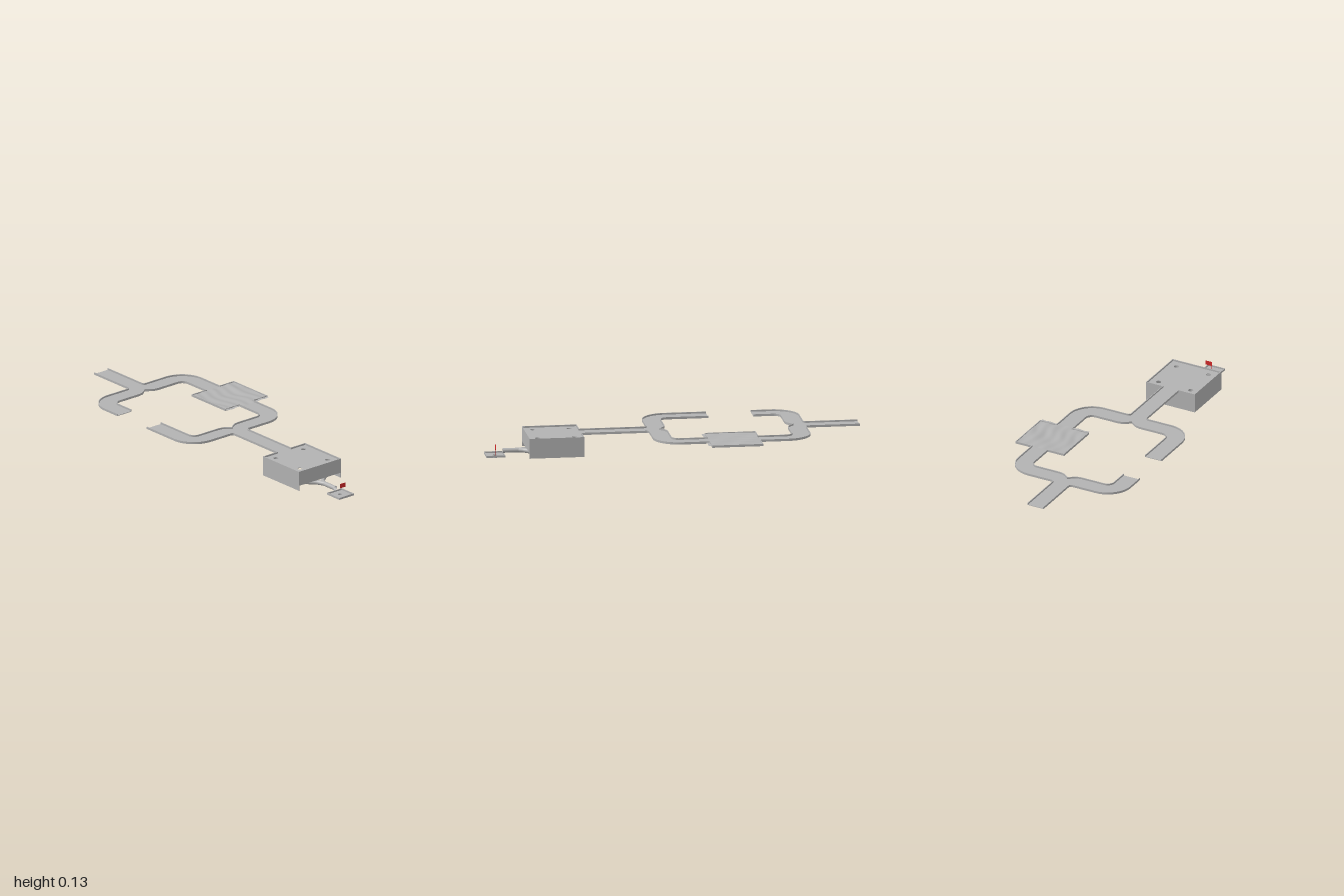
import * as THREE from 'three';
import { toCreasedNormals } from 'three/addons/utils/BufferGeometryUtils.js';

const WALL = 0.004;      // rim thickness
const AXIS = 0.047;      // z of the course centre line
const MID = -0.29;       // x about which the loop is mirrored

export function createModel() {
  const model = new THREE.Group();
  model.name = 'golfCourse';
  const grey = new THREE.MeshStandardMaterial({ name: 'grey', color: 0xb2b2b2, side: THREE.DoubleSide });
  const red = new THREE.MeshStandardMaterial({ name: 'flagRed', color: 0xd02828, side: THREE.DoubleSide });

  const add = (name, geo, mat = grey, parent = model) => {
    const mesh = new THREE.Mesh(geo, mat);
    mesh.name = name;
    parent.add(mesh);
    return mesh;
  };
  const box = (name, x0, x1, y0, y1, z0, z1, parent) => {
    const geo = new THREE.BoxGeometry(x1 - x0, y1 - y0, z1 - z0);
    return add(name, geo.translate((x0 + x1) / 2, (y0 + y1) / 2, (z0 + z1) / 2), grey, parent);
  };

  // Turns [x, z, radius] corners into points, rounding right-angled ones
  const roundPath = (corners) => corners.flatMap(([x, z, r], i) => {
    const v = new THREE.Vector2(x, z);
    if (!r) return [v];
    const a = new THREE.Vector2(...corners[i - 1].slice(0, 2)).sub(v).normalize();
    const b = new THREE.Vector2(...corners[i + 1].slice(0, 2)).sub(v).normalize();
    const c = v.clone().addScaledVector(a, r).addScaledVector(b, r);
    const n = r > 0.03 ? 12 : 4;
    return Array.from({ length: n + 1 }, (_, k) => {
      const t = (k / n) * Math.PI / 2;
      return c.clone().addScaledVector(b, -r * Math.cos(t)).addScaledVector(a, -r * Math.sin(t));
    });
  });

  // Extrudes an (x, z) shape between two heights
  const slab = (shape, y0, y1) => {
    const geo = new THREE.ExtrudeGeometry(shape, { depth: y1 - y0, bevelEnabled: false, curveSegments: 20 });
    return toCreasedNormals(geo.rotateX(Math.PI / 2).translate(0, y1, 0), 0.5);
  };

  // Thin rim that follows a path, thickened towards the track
  const rim = (points, y0, y1) => {
    const inner = points.map((p, i) => {
      const normal = (q, s) => new THREE.Vector2(s.y - q.y, q.x - s.x).normalize();
      const n1 = i > 0 ? normal(points[i - 1], p) : normal(p, points[1]);
      const n2 = i < points.length - 1 ? normal(p, points[i + 1]) : n1;
      return p.clone().addScaledVector(n1.clone().add(n2), WALL / (1 + n1.dot(n2)));
    });
    return slab(new THREE.Shape([...points, ...inner.reverse()]), y0, y1);
  };

  const hole = (x, z, r) => new THREE.Path().absarc(x, z, r, 0, Math.PI * 2);
  const mirror = (list) => list.map(([x, z, r]) => [2 * MID - x, z, r]).reverse();

  // Track edges: left fork, inside of the loop, then the outside round the tee box
  const leftFork = [[-1, 0.096], [-0.711, 0.096, 0.014], [-0.711, 0.388, 0.137], [-0.47, 0.388]];
  const innerLeft = [
    [-0.47, 0.287], [-0.611, 0.287, 0.038],
    [-0.611, 0.115], [-0.615, 0.09], [-0.626, 0.07], [-0.645, AXIS],
    [-0.626, 0.024], [-0.615, 0.004], [-0.611, -0.02],
    [-0.611, -0.193, 0.038], [-0.427, -0.193], [-0.427, -0.094],
  ];
  const innerRight = mirror(innerLeft);
  innerRight[innerRight.length - 1] = [-0.23, 0.287];
  const outerLeft = [[-0.427, -0.388], [-0.427, -0.291], [-0.711, -0.291, 0.137], [-0.711, -0.002, 0.014], [-1, -0.002]];
  const outer = [
    [-0.23, 0.388], [0.131, 0.388, 0.137], [0.131, 0.096, 0.014],
    [0.49, 0.096], [0.49, 0.194], [0.783, 0.194], [0.783, -0.1], [0.49, -0.1], [0.49, -0.002],
    ...mirror(outerLeft).slice(1), ...outerLeft,
  ];
  const edges = [leftFork, [...innerLeft, ...innerRight], outer].map(roundPath);

  const floor = new THREE.Shape(edges.flat());
  for (const x of [0.537, 0.733]) for (const z of [-0.05, 0.144]) floor.holes.push(hole(x, z, 0.0135));
  add('trackFloor', slab(floor, 0.119, 0.122));
  edges.forEach((path) => add('trackRim', rim(path, 0.119, 0.131)));

  // Rippled green on the rear branch
  const ripples = new THREE.PlaneGeometry(0.287, 0.286, 36, 36).rotateX(-Math.PI / 2).translate(MID + 0.01, 0, -0.241);
  const pos = ripples.attributes.position;
  for (let i = 0; i < pos.count; i++) {
    const x = pos.getX(i), z = pos.getZ(i);
    const wave = 0.0015 * Math.sin(110 * z + 1.5 * Math.sin(26 * x)) + 0.001 * Math.sin(42 * x + 30 * z);
    const swell = 0.0045 * Math.exp(-(((z + 0.33) / 0.03) ** 2) - (((x + 0.33) / 0.09) ** 2));
    pos.setY(i, 0.126 + wave + swell);
  }
  ripples.computeVertexNormals();
  ripples.translate(-0.0005, 0, 0);
  add('rippledGreen', ripples).position.x = 0.0005;

  // Hollow box below the holes, open underneath and low on the exit side
  const drop = new THREE.Group();
  drop.name = 'dropBox';
  model.add(drop);
  box('boxBackWall', 0.49, 0.783, 0.023, 0.119, -0.1, -0.1 + WALL, drop);
  box('boxFrontWall', 0.49, 0.783, 0.023, 0.119, 0.194 - WALL, 0.194, drop);
  box('boxInnerWall', 0.49, 0.49 + WALL, 0.023, 0.119, -0.1, 0.194, drop);
  box('boxExitWall', 0.783 - WALL, 0.783, 0.051, 0.119, -0.1, 0.194, drop);

  // Two pipes drop from the holes and merge into the exit pipe
  const pipe = (name, pts, n) => {
    const curve = new THREE.CatmullRomCurve3(pts.map((p) => new THREE.Vector3(...p)), false, 'centripetal');
    add(name, new THREE.TubeGeometry(curve, n, 0.0125, 16, false));
  };
  pipe('farPipe', [
    [0.537, 0.12, 0.144], [0.537, 0.065, 0.144], [0.545, 0.044, 0.144], [0.57, 0.0375, 0.142],
    [0.66, 0.0375, 0.132], [0.74, 0.0375, 0.1], [0.785, 0.0375, 0.062], [0.82, 0.0375, AXIS],
  ], 48);
  pipe('nearPipe', [
    [0.733, 0.12, -0.05], [0.733, 0.065, -0.05], [0.735, 0.046, -0.043], [0.742, 0.0375, -0.02],
    [0.765, 0.0375, 0.01], [0.79, 0.0375, 0.034], [0.82, 0.0375, AXIS],
  ], 40);
  pipe('exitPipe', [[0.81, 0.0375, AXIS], [0.86, 0.0375, AXIS], [0.907, 0.0375, AXIS]], 4);

  // Final tray with its cup
  const [x0, x1, z0, z1] = [0.9, 1, AXIS - 0.051, AXIS + 0.051];
  const cupX = 0.947;
  const tray = new THREE.Shape([[x0, z0], [x1, z0], [x1, z1], [x0, z1]].map((p) => new THREE.Vector2(...p)));
  tray.holes.push(hole(cupX, AXIS, 0.011));
  add('trayFloor', slab(tray, 0.012, 0.015));
  box('trayRim', x0, x0 + WALL, 0.012, 0.023, z0, z1);
  box('trayRim', x1 - WALL, x1, 0.012, 0.023, z0, z1);
  box('trayRim', x0, x1, 0.012, 0.023, z0, z0 + WALL);
  box('trayRim', x0, x1, 0.012, 0.023, z1 - WALL, z1);
  const cup = [[0, 0], [0.011, 0], [0.011, 0.015]].map((p) => new THREE.Vector2(...p));
  add('cup', toCreasedNormals(new THREE.LatheGeometry(cup, 20), 0.5)).position.set(cupX, 0, AXIS);

  // Flag
  add('flagPole', new THREE.CylinderGeometry(0.0012, 0.0012, 0.072, 8), red).position.set(cupX, 0.037, AXIS + 0.001);
  add('flag', new THREE.BoxGeometry(0.0012, 0.024, 0.038), red).position.set(cupX, 0.061, AXIS - 0.018);
  return model;
}
